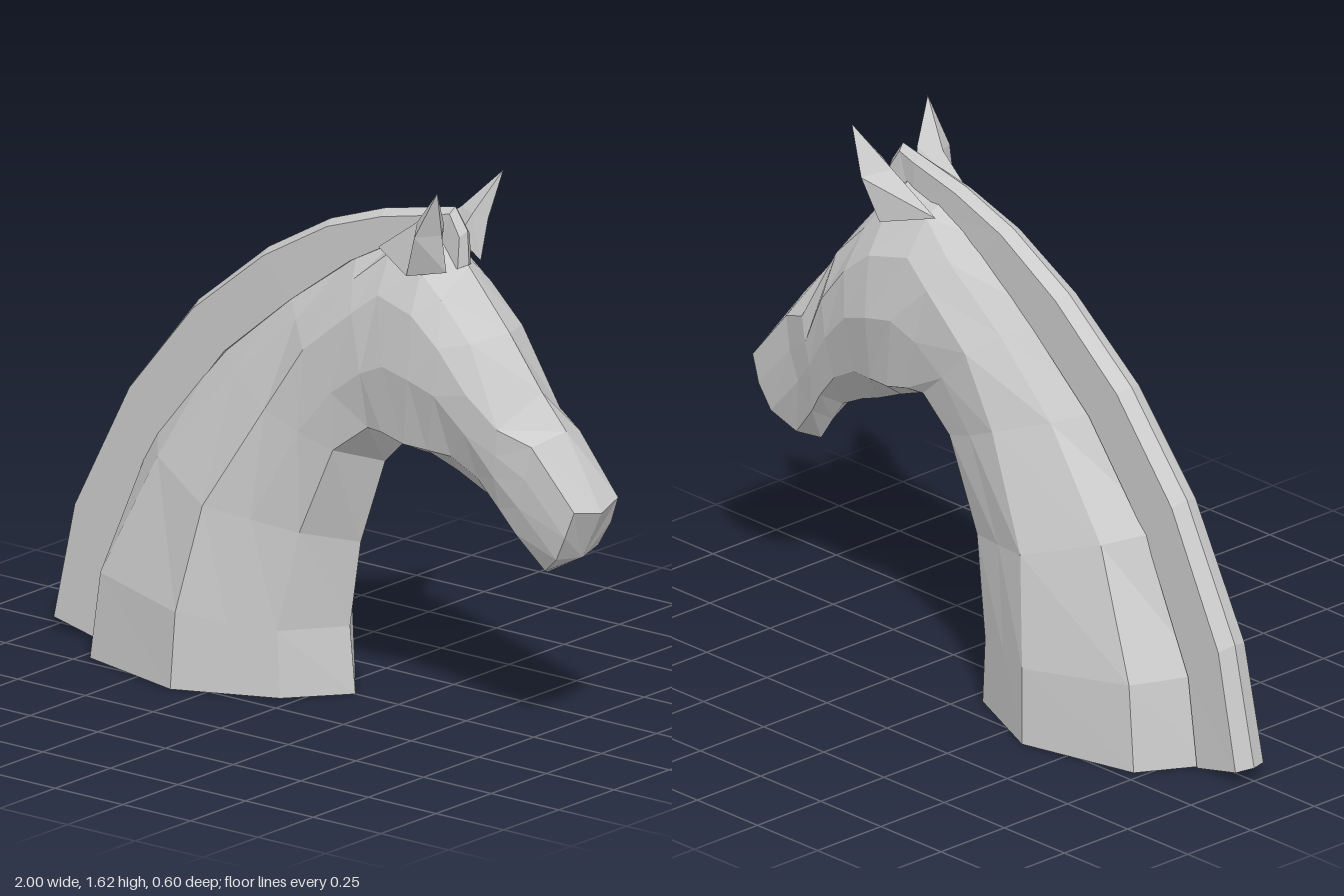
import * as THREE from 'three';

const material = new THREE.MeshStandardMaterial({ color: 0xcccccc, flatShading: true, side: THREE.DoubleSide });

// Skins a list of closed rings; a ring holding one point closes the end.
function loft(name, rings) {
  const n = Math.max(...rings.map(r => r.length));
  const at = (r, j) => (r.length === 1 ? r[0] : r[j % n]);
  const pos = [];
  for (let i = 0; i + 1 < rings.length; i++) {
    const [lo, hi] = [rings[i], rings[i + 1]];
    for (let j = 0; j < n; j++) {
      const a = at(lo, j), b = at(lo, j + 1), c = at(hi, j + 1), d = at(hi, j);
      if (lo.length > 1) pos.push(...a, ...b, ...d);
      if (hi.length > 1) pos.push(...b, ...c, ...d);
    }
  }
  const geometry = new THREE.BufferGeometry();
  geometry.setAttribute('position', new THREE.Float32BufferAttribute(pos, 3));
  geometry.computeVertexNormals();
  const mesh = new THREE.Mesh(geometry, material);
  mesh.name = name;
  return mesh;
}

const flip = ([x, y, z]) => [x, y, -z];
// Half section from upper centre to lower centre, completed across z = 0
const mirrorRing = half => [...half, ...half.slice(1, -1).reverse().map(flip)];

// Neck sections, base to nape: crest, upper, side, lower side, lower edge, throat
const neck = [
  [[-0.84, 0, 0], [-0.72, 0, 0.21], [-0.35, 0, 0.3], [-0.2, 0, 0.235], [-0.05, 0, 0.17], [0.09, 0, 0]],
  [[-0.8, 0.27, 0], [-0.69, 0.26, 0.2], [-0.34, 0.23, 0.29], [-0.2, 0.215, 0.23], [-0.06, 0.2, 0.17], [0.07, 0.2, 0]],
  [[-0.64, 0.67, 0], [-0.52, 0.63, 0.15], [-0.28, 0.55, 0.24], [-0.14, 0.525, 0.195], [0, 0.5, 0.145], [0.11, 0.46, 0]],
  [[-0.39, 0.97, 0], [-0.27, 0.92, 0.11], [-0.1, 0.86, 0.18], [0.01, 0.81, 0.165], [0.12, 0.77, 0.14], [0.2, 0.72, 0]],
  [[-0.15, 1.18, 0], [-0.05, 1.12, 0.1], [0.03, 1.06, 0.165], [0.13, 0.95, 0.16], [0.24, 0.86, 0.13], [0.29, 0.81, 0]],
];

// Head sections, nape to muzzle, same point order
const head = [
  [[0.1, 1.34, 0], [0.16, 1.28, 0.1], [0.2, 1.2, 0.155], [0.24, 1.03, 0.165], [0.3, 0.86, 0.14], [0.33, 0.795, 0]],
  [[0.28, 1.42, 0], [0.28, 1.38, 0.08], [0.29, 1.27, 0.145], [0.33, 1.07, 0.175], [0.38, 0.84, 0.14], [0.39, 0.775, 0]],
  [[0.42, 1.45, 0], [0.42, 1.355, 0.11], [0.43, 1.24, 0.165], [0.43, 1.05, 0.18], [0.46, 0.835, 0.13], [0.47, 0.745, 0]],
  [[0.51, 1.365, 0], [0.5, 1.29, 0.115], [0.53, 1.16, 0.168], [0.52, 1.02, 0.175], [0.54, 0.83, 0.12], [0.56, 0.705, 0]],
  [[0.66, 1.195, 0], [0.61, 1.18, 0.12], [0.63, 1.04, 0.162], [0.62, 0.92, 0.157], [0.63, 0.78, 0.11], [0.63, 0.68, 0]],
  [[0.78, 1.04, 0], [0.73, 0.95, 0.143], [0.72, 0.87, 0.14], [0.71, 0.8, 0.132], [0.7, 0.7, 0.1], [0.71, 0.64, 0]],
  [[0.87, 0.94, 0], [0.83, 0.91, 0.11], [0.81, 0.81, 0.115], [0.78, 0.72, 0.11], [0.75, 0.63, 0.085], [0.75, 0.58, 0]],
  [[1, 0.72, 0], [0.98, 0.74, 0.1], [0.95, 0.66, 0.105], [0.91, 0.585, 0.095], [0.84, 0.53, 0.06], [0.8, 0.505, 0]],
];

// Mane stations: ridge x, y, root x, y, half width; the last ones fall as the forelock
const mane = [
  [-1, 0.04, -0.82, 0, 0.055], [-0.92, 0.4, -0.78, 0.27, 0.052],
  [-0.72, 0.79, -0.6, 0.65, 0.048], [-0.49, 1.07, -0.36, 0.95, 0.045],
  [-0.23, 1.28, -0.12, 1.15, 0.041], [0, 1.41, 0.1, 1.31, 0.036],
  [0.2, 1.48, 0.25, 1.39, 0.031], [0.39, 1.52, 0.39, 1.41, 0.025],
  [0.46, 1.535, 0.42, 1.41, 0.02], [0.505, 1.47, 0.45, 1.39, 0.024], [0.51, 1.37, 0.47, 1.35, 0.03],
];

function maneRing([ox, oy, ix, iy, w]) {
  const dx = ix - ox, dy = iy - oy, t = 0.02 / Math.hypot(dx, dy);
  return mirrorRing([[ox, oy, 0], [ox + dx * t, oy + dy * t, w], [ix, iy, w], [ix, iy, 0]]);
}

// Ear rings: rear, outer, front, inner
const ear = [
  [[0.24, 1.39, 0.08], [0.4, 1.35, 0.15], [0.49, 1.36, 0.078], [0.44, 1.43, 0.035]],
  [[0.4, 1.5, 0.1], [0.45, 1.48, 0.175], [0.495, 1.48, 0.105], [0.47, 1.5, 0.065]],
  [[0.515, 1.62, 0.15]],
];

export function createModel() {
  const model = new THREE.Group();
  model.name = 'horseHead';

  // Neck and head form one skin, open at the base and closed at the muzzle
  model.add(loft('neckAndHead', [...neck.map(mirrorRing), ...head.map(mirrorRing), [[0.93, 0.575, 0]]]));

  // Mane with closed ends
  model.add(loft('mane', [[[-0.91, 0.02, 0]], ...mane.map(maneRing), [[0.49, 1.36, 0]]]));

  // Ears, mirrored with reversed rings
  model.add(loft('leftEar', ear));
  model.add(loft('rightEar', ear.map(r => r.map(flip).reverse())));
  return model;
}
